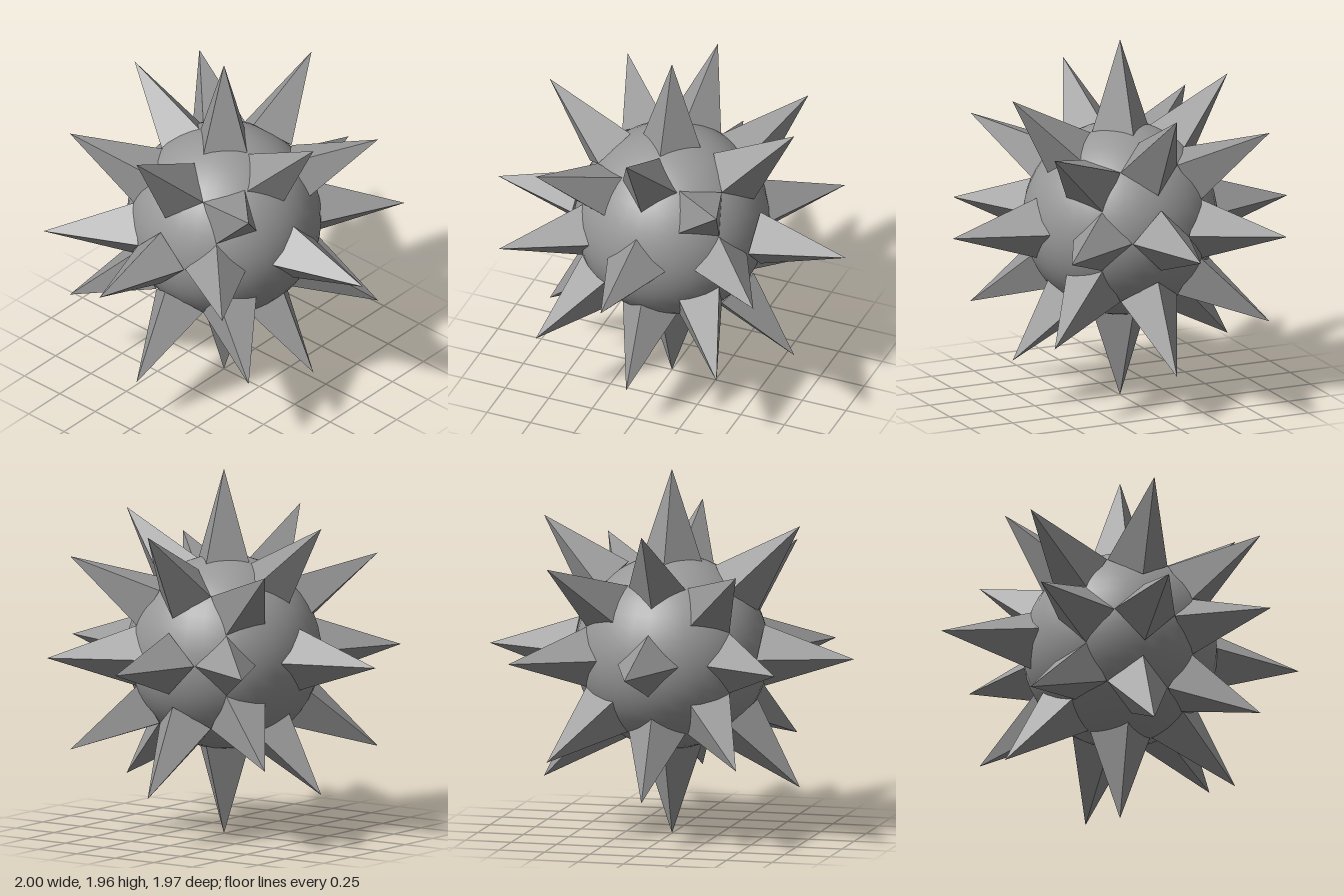
import * as THREE from 'three';

export function createModel() {
  const model = new THREE.Group();
  model.name = 'spikedBall';
  const smooth = new THREE.MeshStandardMaterial({ color: 0x999999 });
  const flat = new THREE.MeshStandardMaterial({ color: 0x999999, flatShading: true });

  // Round core
  const core = new THREE.Mesh(new THREE.SphereGeometry(0.518, 32, 24), smooth);
  core.name = 'core';
  model.add(core);

  // Four-sided spike with its base at the origin, pointing up
  const height = 0.492;
  const spikeGeometry = new THREE.ConeGeometry(0.165, height, 4);
  spikeGeometry.translate(0, height / 2, 0);

  // Places a spike at a distance from the z axis, tilted towards z, turned about z
  function addSpike(name, turn, radius, z, tilt) {
    const holder = new THREE.Group();
    holder.name = name;
    holder.rotation.z = turn;
    const spike = new THREE.Mesh(spikeGeometry, flat);
    spike.name = 'spike';
    spike.position.set(0, radius, z);
    spike.rotation.x = tilt;
    holder.add(spike);
    model.add(holder);
  }

  // Middle ring and the two slanted rings, eight spikes each
  const middleRadius = [0.488, 0.502, 0.508, 0.502];
  const slantedRadius = [0.367, 0.387, 0.384, 0.387];
  for (let i = 0; i < 8; i++) {
    const turn = (i * Math.PI) / 4;
    addSpike('middleSpike', turn, middleRadius[i % 4], 0, 0);
    for (const side of [1, -1]) {
      addSpike(side > 0 ? 'frontRingSpike' : 'backRingSpike',
        turn, slantedRadius[i % 4], side * 0.284, (side * Math.PI) / 4);
    }
  }

  // Single spikes at the front and back
  addSpike('frontSpike', 0, 0, 0.491, Math.PI / 2);
  addSpike('backSpike', 0, 0, -0.491, -Math.PI / 2);

  model.children.forEach((part) => { part.position.y = 0.98; });
  return model;
}
